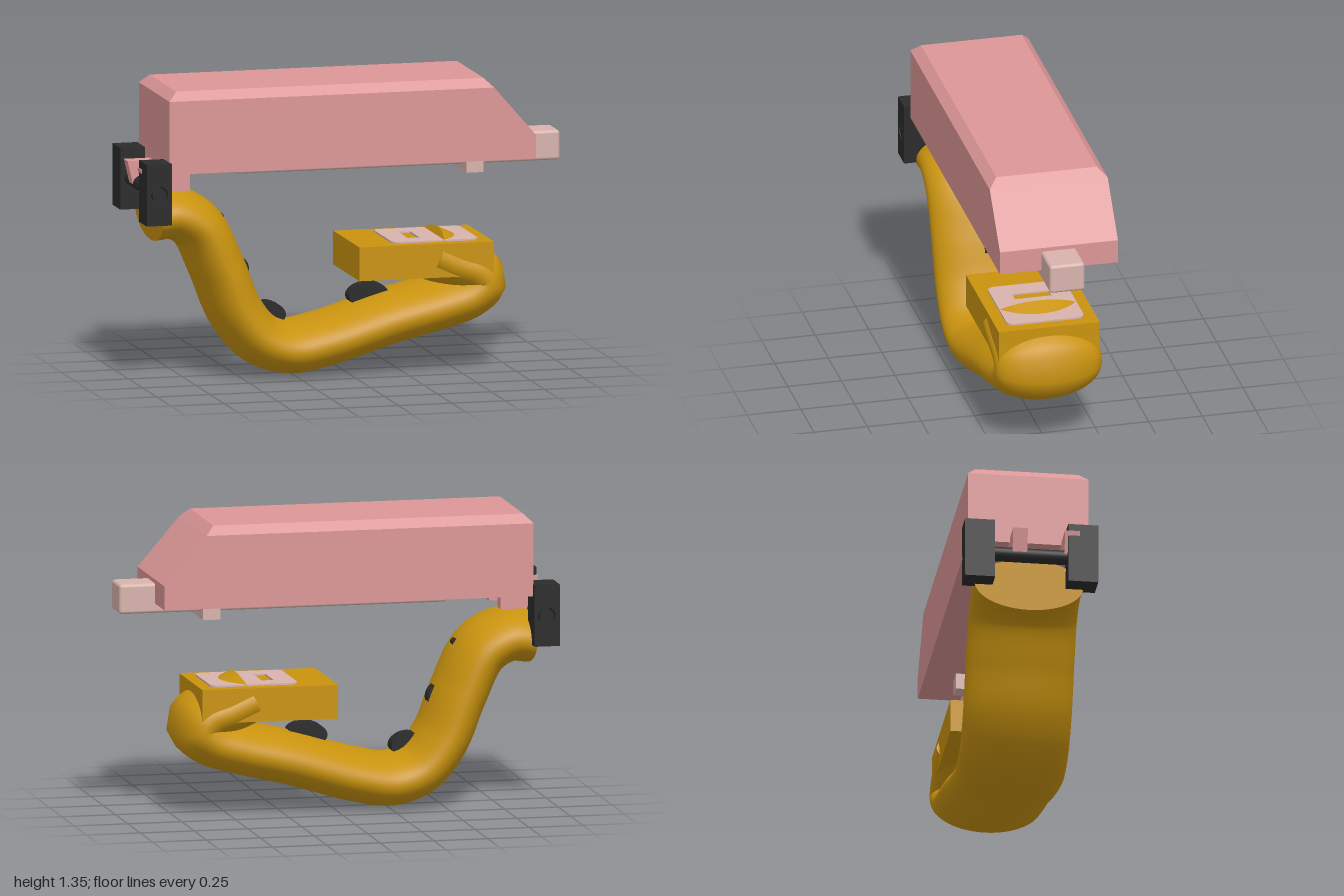
import * as THREE from 'three';
import { RoundedBoxGeometry } from 'three/addons/geometries/RoundedBoxGeometry.js';
import { ConvexGeometry } from 'three/addons/geometries/ConvexGeometry.js';

const material = (name, color) => {
  const m = new THREE.MeshStandardMaterial({ color });
  m.name = name;
  return m;
};

// Elliptical section swept along a path in the xy plane, closed at both ends
function sweptBody(points, halfThick, halfWide, steps, sides) {
  const curve = new THREE.CatmullRomCurve3(points.map(([x, y]) => new THREE.Vector3(x, y, 0)));
  const pos = [], index = [];
  const ring = (u) => {
    const p = curve.getPointAt(u), t = curve.getTangentAt(u);
    for (let j = 0; j < sides; j++) {
      const a = (j / sides) * Math.PI * 2, n = halfThick * Math.sin(a);
      pos.push(p.x - t.y * n, p.y + t.x * n, halfWide * Math.cos(a));
    }
    return p;
  };
  for (let i = 0; i <= steps; i++) ring(i / steps);
  for (let i = 0; i < steps; i++) {
    for (let j = 0; j < sides; j++) {
      const a = i * sides + j, b = i * sides + ((j + 1) % sides);
      index.push(a, a + sides, b, b, a + sides, b + sides);
    }
  }
  for (const u of [0, 1]) {
    const base = pos.length / 3, p = ring(u), mid = base + sides;
    pos.push(p.x, p.y, 0);
    for (let j = 0; j < sides; j++) {
      const a = base + j, b = base + ((j + 1) % sides);
      index.push(mid, u ? b : a, u ? a : b);
    }
  }
  const geo = new THREE.BufferGeometry();
  geo.setAttribute('position', new THREE.Float32BufferAttribute(pos, 3));
  geo.setIndex(index);
  geo.computeVertexNormals();
  return geo;
}

// Shape in xy extruded between two z values
function extrude(shape, z0, z1) {
  return new THREE.ExtrudeGeometry(shape, { depth: z1 - z0, bevelEnabled: false, curveSegments: 20 })
    .translate(0, 0, z0);
}

function rectShape(x0, y0, x1, y1) {
  return new THREE.Shape([[x0, y0], [x1, y0], [x1, y1], [x0, y1]].map((p) => new THREE.Vector2(...p)));
}

function roundRect(x0, y0, x1, y1, r) {
  const s = new THREE.Shape();
  s.absarc(x1 - r, y0 + r, r, -Math.PI / 2, 0);
  s.absarc(x1 - r, y1 - r, r, 0, Math.PI / 2);
  s.absarc(x0 + r, y1 - r, r, Math.PI / 2, Math.PI);
  s.absarc(x0 + r, y0 + r, r, Math.PI, Math.PI * 1.5);
  s.closePath();
  return s;
}

export function createModel() {
  const group = new THREE.Group();
  const pink = material('pink', 0xdc9696);
  const pale = material('pale pink', 0xd8b3ac);
  const mustard = material('mustard', 0xc9930f);
  const dark = material('charcoal', 0x2b2b2b);

  const add = (name, geo, mat) => {
    const mesh = new THREE.Mesh(geo, mat);
    mesh.name = name;
    group.add(mesh);
    return mesh;
  };
  const box = (name, mat, x0, x1, y0, y1, z0, z1, r = 0) => {
    const size = [x1 - x0, y1 - y0, z1 - z0];
    const geo = r ? new RoundedBoxGeometry(...size, 3, r) : new THREE.BoxGeometry(...size);
    return add(name, geo.translate((x0 + x1) / 2, (y0 + y1) / 2, (z0 + z1) / 2), mat);
  };

  // Upper cover with chamfered top and sloping nose
  const hull = [];
  for (const s of [-1, 1]) {
    for (const [x, y, z] of [
      [-0.88, 0.98, 0.275], [0.835, 0.98, 0.275], [0.835, 1.09, 0.275], [0.64, 1.315, 0.275],
      [-0.88, 1.315, 0.275], [-0.84, 1.355, 0.235], [0.6, 1.355, 0.235],
    ]) hull.push(new THREE.Vector3(x, y, z * s));
  }
  add('cover', new ConvexGeometry(hull), pink);

  // Sliding bar with its tip and cross piece
  box('slideTip', pale, 0.7, 1, 0.935, 1.072, -0.082, 0.082, 0.015);
  box('slideBar', pale, -0.52, 0.95, 0.935, 1.02, -0.082, 0.082, 0.015);
  box('slideCrossPiece', pale, 0.545, 0.625, 0.905, 0.99, -0.14, 0.14);

  // Hinge: drilled blocks, pin and notched lugs
  const px = -0.935, py = 0.892, hole = 0.04;
  for (const s of [-1, 1]) {
    const shape = rectShape(-0.995, 0.752, -0.878, 1.035);
    shape.holes.push(new THREE.Path().absarc(px, py, hole, 0, Math.PI * 2, true));
    add('hingeBlock', extrude(shape, s > 0 ? 0.167 : -0.304, s > 0 ? 0.304 : -0.167), dark);
  }
  const pin = new THREE.CylinderGeometry(0.033, 0.033, 0.606, 24).rotateX(Math.PI / 2);
  add('hingePin', pin.translate(px, py, 0), dark);
  for (const [z0, z1] of [[-0.085, -0.018], [0.152, 0.22]]) {
    const lug = new THREE.Shape();
    lug.moveTo(-1, py);
    lug.absarc(px, py, hole, Math.PI, 0, true);
    lug.lineTo(-0.77, py);
    lug.lineTo(-0.77, 1);
    lug.lineTo(-1, 1);
    lug.closePath();
    add('hingeLug', extrude(lug, z0, z1), pink);
  }

  // Curved body, curling over itself at the far end
  const path = [
    [-0.905, 0.761], [-0.81, 0.766], [-0.69, 0.7], [-0.59, 0.505], [-0.505, 0.3], [-0.4, 0.172],
    [-0.27, 0.125], [-0.1, 0.15], [0.2, 0.238], [0.45, 0.3], [0.57, 0.34], [0.633, 0.4],
    [0.595, 0.448], [0.5, 0.483], [0.396, 0.53],
  ];
  add('body', sweptBody(path, 0.122, 0.248, 110, 48), mustard);

  // Grip studs on the inner curve: x, y, length, height, tilt, half width
  for (const [x, y, len, high, tilt, w] of [
    [-0.585, 0.73, 0.026, 0.025, -1.0, 0.028],
    [-0.487, 0.5, 0.055, 0.04, -1.1, 0.032],
    [-0.34, 0.285, 0.07, 0.046, -0.35, 0.038],
    [0.115, 0.345, 0.092, 0.055, 0.1, 0.04],
  ]) {
    const stud = new THREE.CylinderGeometry(1, 1, 2 * w, 20).rotateX(Math.PI / 2);
    add('gripStud', stud.scale(len, high, 1).rotateZ(tilt).translate(x, y, 0), dark);
  }

  // Lower platform and its slotted plate
  box('platform', mustard, 0.02, 0.65, 0.445, 0.6, -0.235, 0.235);
  const plate = roundRect(0.19, -0.18, 0.595, 0.18, 0.035);
  plate.holes.push(new THREE.Path([[0.285, -0.085], [0.285, 0.085], [0.34, 0.085], [0.34, -0.085]]
    .map((p) => new THREE.Vector2(...p))));
  add('plate', extrude(plate, 0, 0.008).rotateX(-Math.PI / 2).translate(0, 0.6, 0), pale);

  return group;
}
